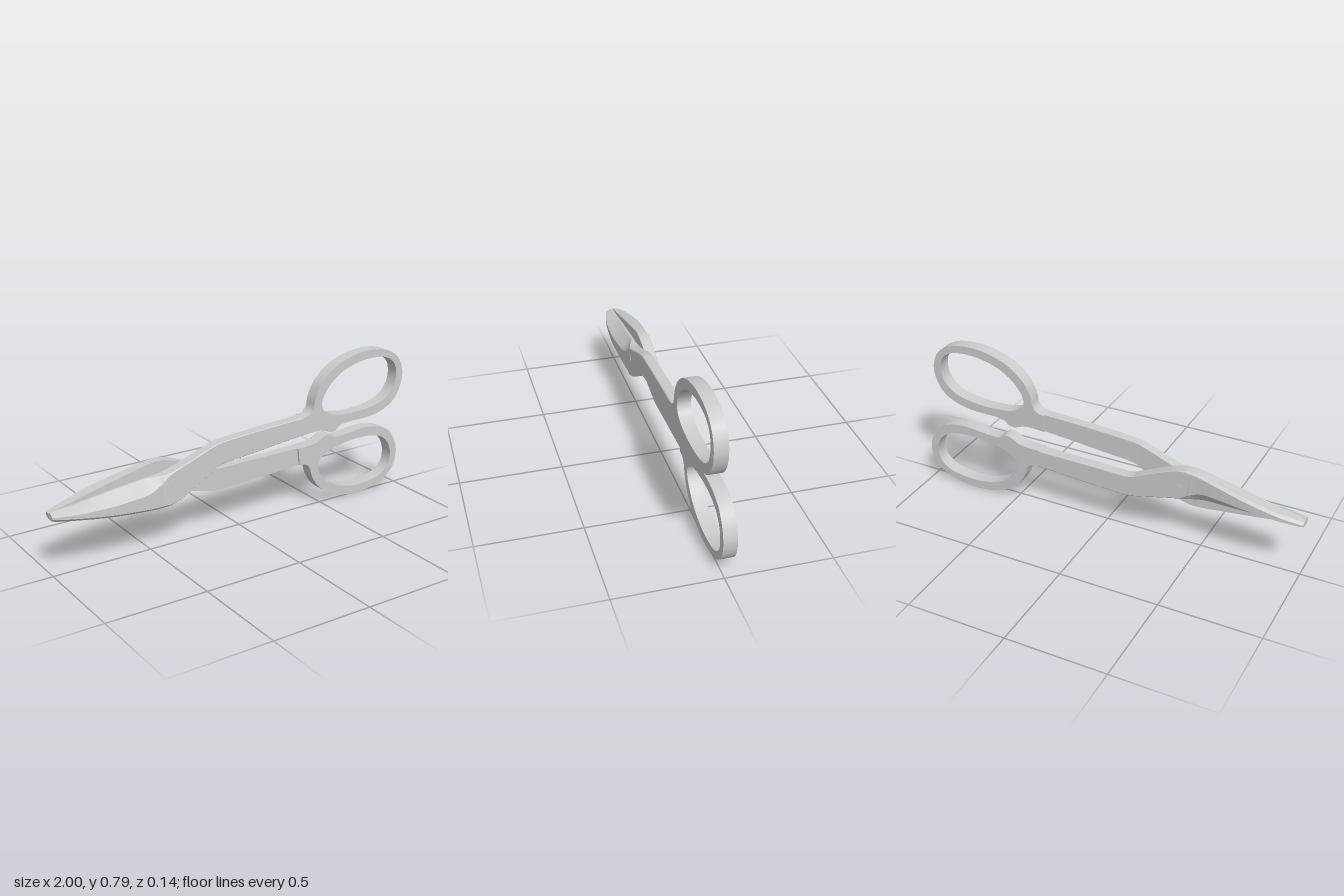
import * as THREE from 'three';
import { toCreasedNormals } from 'three/addons/utils/BufferGeometryUtils.js';

const material = new THREE.MeshStandardMaterial({ color: 0xcccccc });

function part(name, geometry) {
  const mesh = new THREE.Mesh(geometry, material);
  mesh.name = name;
  return mesh;
}

// Blade and shank: one loft along x.
// Each row: x, bottom, top, shoulder height, outer z, top-edge z, inner z
const STATIONS = [
  [-1.0, 0.28, 0.312, 0.3, 0.035, 0.012, 0.001],
  [-0.97, 0.275, 0.317, 0.3, 0.045, 0.012, 0.001],
  [-0.88, 0.265, 0.326, 0.298, 0.063, 0.012, 0.001],
  [-0.74, 0.246, 0.345, 0.298, 0.072, 0.012, 0.001],
  [-0.6, 0.229, 0.361, 0.302, 0.066, 0.012, 0.001],
  [-0.52, 0.22, 0.369, 0.31, 0.059, 0.014, 0.001],
  [-0.46, 0.216, 0.375, 0.338, 0.055, 0.034, 0.001],
  [-0.41, 0.222, 0.384, 0.376, 0.055, 0.049, 0.001],
  [-0.34, 0.25, 0.407, 0.403, 0.055, 0.052, 0.002],
  [-0.26, 0.295, 0.437, 0.433, 0.055, 0.052, 0.004],
  [-0.19, 0.337, 0.463, 0.459, 0.055, 0.052, 0.005],
  [-0.13, 0.366, 0.478, 0.474, 0.055, 0.052, 0.005],
  [0.05, 0.384, 0.491, 0.487, 0.055, 0.052, 0.004],
  [0.2, 0.4, 0.499, 0.495, 0.055, 0.052, 0.002],
  [0.345, 0.414, 0.505, 0.501, 0.055, 0.052, 0.0],
];

function bladeGeometry() {
  const column = (a, b) => new THREE.CatmullRomCurve3(
    STATIONS.map((s) => new THREE.Vector3(s[0], s[a], s[b])), false, 'catmullrom');
  const edges = column(1, 2), shoulder = column(3, 4), depth = column(5, 6);
  const rows = 56, n = 6, positions = [], index = [];
  for (let i = 0; i <= rows; i++) {
    const t = i / rows;
    const { x, y: bottom, z: top } = edges.getPoint(t);
    const { y: mid, z: outer } = shoulder.getPoint(t);
    const { y: topZ, z: inner } = depth.getPoint(t);
    const chamfer = Math.min(0.012, outer - topZ);
    const section = [
      [inner, bottom], [outer - chamfer, bottom], [outer, bottom + chamfer],
      [outer, mid], [topZ, top], [inner, top],
    ];
    for (const [z, y] of section) positions.push(x, y, z);
  }
  for (let i = 0; i < rows; i++) {
    for (let j = 0; j < n; j++) {
      const a = i * n + j, b = i * n + (j + 1) % n;
      index.push(a, a + n, b, b, a + n, b + n);
    }
  }
  const last = rows * n;
  for (let j = 1; j < n - 1; j++) {
    index.push(0, j, j + 1, last, last + j + 1, last + j);
  }
  const geometry = new THREE.BufferGeometry();
  geometry.setAttribute('position', new THREE.Float32BufferAttribute(positions, 3));
  geometry.setIndex(index);
  return toCreasedNormals(geometry, 0.6);
}

// Finger loop with its flared neck and stop bump (clockwise)
const LOOP_OUTER = [
  [0.345, 0.505], [0.38, 0.513], [0.403, 0.537], [0.415, 0.59], [0.45, 0.66],
  [0.53, 0.73], [0.63, 0.77], [0.75, 0.785], [0.87, 0.765], [0.942, 0.715],
  [0.973, 0.635], [0.96, 0.555], [0.92, 0.492], [0.855, 0.454], [0.77, 0.433],
  [0.68, 0.43], [0.61, 0.428], [0.57, 0.42], [0.548, 0.4], [0.515, 0.396],
  [0.485, 0.407], [0.45, 0.418], [0.345, 0.414],
];
// Finger opening (counter-clockwise)
const LOOP_INNER = [
  [0.455, 0.56], [0.472, 0.517], [0.52, 0.489], [0.6, 0.476], [0.69, 0.474],
  [0.79, 0.486], [0.87, 0.515], [0.917, 0.565], [0.932, 0.63], [0.915, 0.69],
  [0.86, 0.73], [0.76, 0.742], [0.65, 0.727], [0.56, 0.69], [0.49, 0.63],
];

function smooth(points, closed, count) {
  const curve = new THREE.CatmullRomCurve3(
    points.map(([x, y]) => new THREE.Vector3(x, y, 0)), closed);
  const result = curve.getPoints(count).map((p) => new THREE.Vector2(p.x, p.y));
  if (closed) result.pop();
  return result;
}

function loopGeometry() {
  const shape = new THREE.Shape(smooth(LOOP_OUTER, false, 110));
  shape.holes.push(new THREE.Path(smooth(LOOP_INNER, true, 75)));
  const geometry = new THREE.ExtrudeGeometry(shape, { depth: 0.065, bevelEnabled: false });
  geometry.translate(0, 0, -0.01);
  return toCreasedNormals(geometry, 0.6);
}

export function createModel() {
  const model = new THREE.Group();
  model.name = 'snips';

  const blade = bladeGeometry();
  const loop = loopGeometry();
  const makeHalf = (name) => {
    const half = new THREE.Group();
    half.name = name;
    half.add(part('bladeAndShank', blade), part('fingerLoop', loop));
    return half;
  };

  // The second half is the first turned half a revolution about the long axis
  const pivot = new THREE.Vector3(-0.39, 0.329, 0);
  const axis = new THREE.Vector3(1, 0.056, 0).normalize();
  const backHalf = makeHalf('backHalf');
  backHalf.position.copy(pivot).negate();
  const turned = new THREE.Group();
  turned.name = 'backHalfTurn';
  turned.position.copy(pivot);
  turned.quaternion.setFromAxisAngle(axis, Math.PI);
  turned.add(backHalf);

  // Pivot pin, almost flush with both faces
  const pin = part('pivotPin', new THREE.CylinderGeometry(0.024, 0.024, 0.113, 32));
  pin.rotation.x = Math.PI / 2;
  pin.position.copy(pivot);

  model.add(makeHalf('frontHalf'), turned, pin);
  return model;
}
